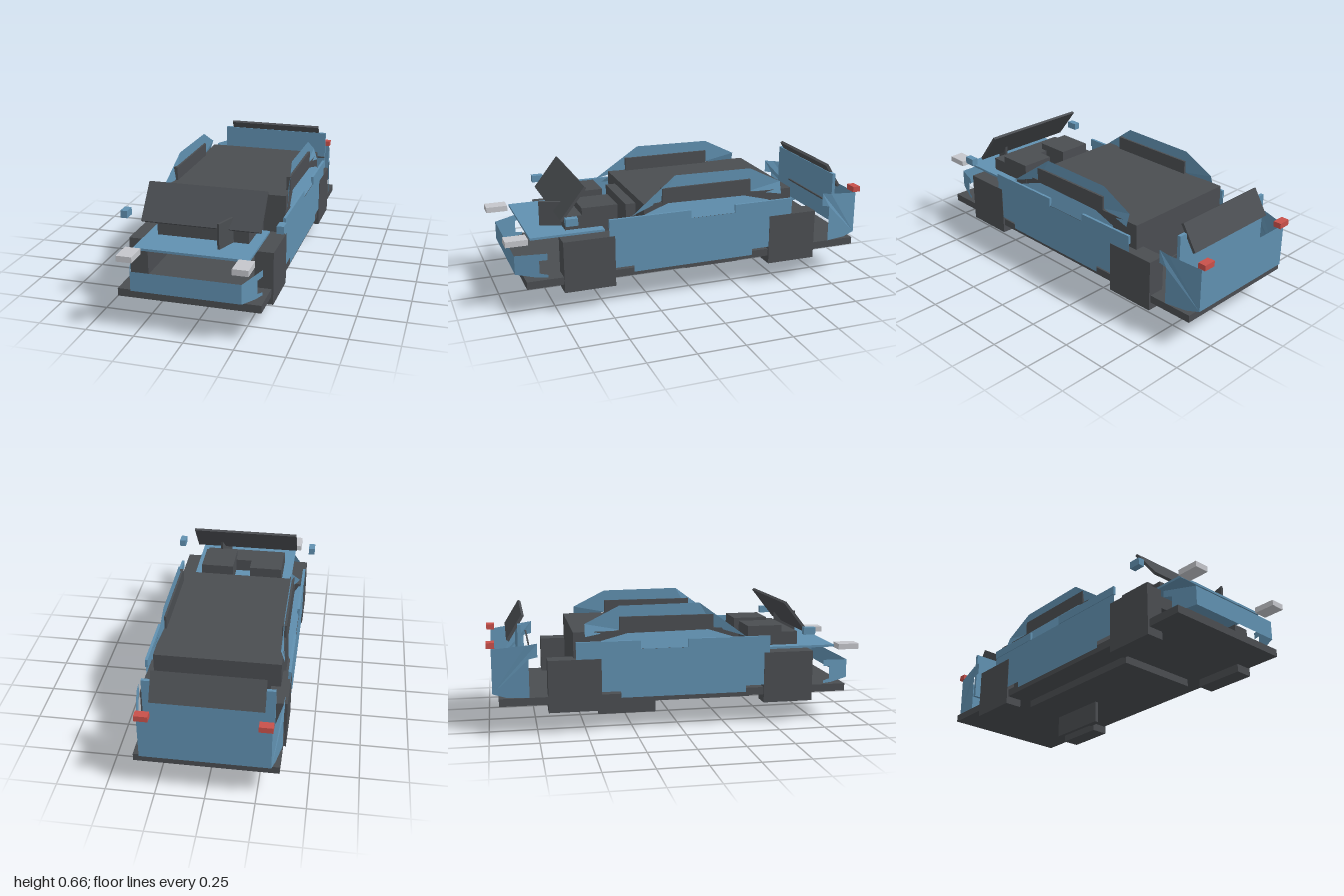
import * as THREE from 'three';

const mat = (name, color, extra = {}) =>
  Object.assign(new THREE.MeshStandardMaterial({ color, flatShading: true, side: THREE.DoubleSide, ...extra }), { name });

export function createModel() {
  const car = new THREE.Group();
  car.name = 'explodedCar';
  const dark = mat('charcoal', 0x4a4d51);
  const blue = mat('bodyBlue', 0x6090b0);
  const silver = mat('lampSilver', 0xc4c6cb);
  const red = mat('lampRed', 0xc8504a);

  const add = (name, geometry, material) => {
    const mesh = new THREE.Mesh(geometry, material);
    mesh.name = name;
    car.add(mesh);
    return mesh;
  };
  // Box given by its limits on each axis
  const box = (name, m, [x0, x1], [y0, y1], [z0, z1]) => {
    const b = add(name, new THREE.BoxGeometry(x1 - x0, y1 - y0, z1 - z0), m);
    b.position.set((x0 + x1) / 2, (y0 + y1) / 2, (z0 + z1) / 2);
    return b;
  };
  const pair = (name, m, [x0, x1], y, z) => {
    box(name + 'Left', m, [x0, x1], y, z);
    box(name + 'Right', m, [-x1, -x0], y, z);
  };
  // Thin side sheet outlined in (z, y), bent sideways by a rule x = f(z, y)
  const sidePair = (name, outline, f) => {
    for (const s of [1, -1]) {
      const shape = new THREE.Shape(outline.map(([z, y]) => new THREE.Vector2(z, y)));
      const g = new THREE.ShapeGeometry(shape).toNonIndexed();
      const p = g.attributes.position;
      for (let i = 0; i < p.count; i++) {
        const z = p.getX(i), y = p.getY(i);
        p.setXYZ(i, s * f(z, y), y, z);
      }
      g.computeVertexNormals();
      add(name + (s > 0 ? 'Left' : 'Right'), g, blue);
    }
  };
  // Flat upright sheet across the car
  const cross = (name, w, y0, y1, z) => {
    add(name, new THREE.PlaneGeometry(w, y1 - y0), blue).position.set(0, (y0 + y1) / 2, z);
  };
  // Tilted lid between two (z, y) edges
  const lid = (name, w, [za, ya], [zb, yb], t) => {
    const m = add(name, new THREE.BoxGeometry(w, t, Math.hypot(zb - za, yb - ya)), dark);
    m.position.set(0, (ya + yb) / 2, (za + zb) / 2);
    m.rotation.x = -Math.atan2(yb - ya, zb - za);
  };
  const lerp = THREE.MathUtils.mapLinear;

  // Underbody
  box('floor', dark, [-0.36, 0.36], [0.16, 0.2], [-0.945, 0.91]);
  box('underTray', dark, [-0.226, 0.226], [0.12, 0.16], [-0.39, 0.41]);
  box('centreFin', dark, [-0.01, 0.01], [0, 0.117], [-0.4, -0.075]);
  pair('frontWheelHousing', dark, [0.275, 0.37], [0.117, 0.39], [0.45, 0.72]);
  pair('rearWheelHousing', dark, [0.275, 0.37], [0.117, 0.39], [-0.695, -0.42]);

  // Cabin and engine blocks
  box('cabin', dark, [-0.325, 0.325], [0.22, 0.525], [-0.56, 0.28]);
  box('dashboard', dark, [-0.187, 0.187], [0.3, 0.49], [0.28, 0.335]);
  pair('sideWindow', dark, [0.303, 0.326], [0.52, 0.598], [-0.32, 0.18]);
  pair('engineBlock', dark, [0.05, 0.235], [0.325, 0.512], [0.395, 0.585]);
  box('engineFront', dark, [-0.235, 0.235], [0.325, 0.475], [0.545, 0.675]);

  // Front end
  box('bonnetDeck', blue, [-0.29, 0.29], [0.392, 0.404], [0.48, 0.87]);
  lid('raisedBonnet', 0.61, [0.58, 0.645], [0.71, 0.48], 0.014);
  const stay = box('bonnetStay', dark, [0.125, 0.137], [0.404, 0.534], [0.662, 0.786]);
  stay.rotation.y = -0.35;
  stay.position.x = 0.134;
  pair('headlight', silver, [0.243, 0.322], [0.381, 0.411], [0.885, 1]);
  pair('mirror', blue, [0.38, 0.415], [0.487, 0.525], [0.65, 0.712]);
  cross('frontBumper', 0.552, 0.215, 0.315, 0.952);
  sidePair('frontBumperWing', [
    [0.952, 0.315], [0.795, 0.33], [0.795, 0.295], [0.835, 0.29],
    [0.835, 0.222], [0.795, 0.215], [0.795, 0.2], [0.85, 0.2], [0.952, 0.215],
  ], (z) => lerp(z, 0.952, 0.795, 0.276, 0.336));

  // Rear end
  cross('rearBumper', 0.644, 0.218, 0.45, -0.976);
  sidePair('rearBumperWing', [
    [-0.976, 0.45], [-0.8, 0.472], [-0.745, 0.48], [-0.745, 0.41],
    [-0.79, 0.4], [-0.79, 0.183], [-0.84, 0.183], [-0.976, 0.218],
  ], (z) => lerp(Math.min(z, -0.79), -0.976, -0.79, 0.322, 0.36));
  box('rearPanel', blue, [-0.323, 0.323], [0.3, 0.573], [-0.84, -0.822]);
  lid('raisedBootLid', 0.556, [-0.89, 0.485], [-0.81, 0.615], 0.016);
  box('rearRod', dark, [-0.1, 0.33], [0.426, 0.434], [-0.783, -0.775]);
  pair('tailLight', red, [0.26, 0.328], [0.455, 0.485], [-1, -0.957]);

  // Doors, shoulder trims and window frames
  sidePair('doorPanel', [
    [0.48, 0.215], [0.48, 0.435], [-0.55, 0.435], [-0.55, 0.215],
    [-0.32, 0.215], [-0.32, 0.18], [0.35, 0.18], [0.35, 0.215],
  ], () => 0.368);
  pair('frontShoulderTrim', blue, [0.358, 0.372], [0.435, 0.48], [0.035, 0.48]);
  pair('rearShoulderTrim', blue, [0.358, 0.372], [0.435, 0.48], [-0.55, -0.215]);
  sidePair('doorShoulder', [
    [0.34, 0.435], [0.28, 0.48], [0.15, 0.52], [-0.28, 0.514], [-0.42, 0.48], [-0.42, 0.435],
  ], (z, y) => lerp(y, 0.435, 0.52, 0.366, 0.332));
  sidePair('windowFrame', [
    [0.35, 0.48], [0.105, 0.66], [-0.32, 0.655], [-0.5, 0.565],
    [-0.5, 0.5], [-0.32, 0.53], [0.18, 0.53],
  ], (z, y) => lerp(Math.min(y, 0.53), 0.48, 0.53, 0.35, 0.314));
  // Crease line on each door
  sidePair('doorCrease', [
    [0.34, 0.342], [0.15, 0.405], [-0.25, 0.432], [-0.25, 0.436], [0.15, 0.411], [0.34, 0.348],
  ], () => 0.3695);

  return car;
}
